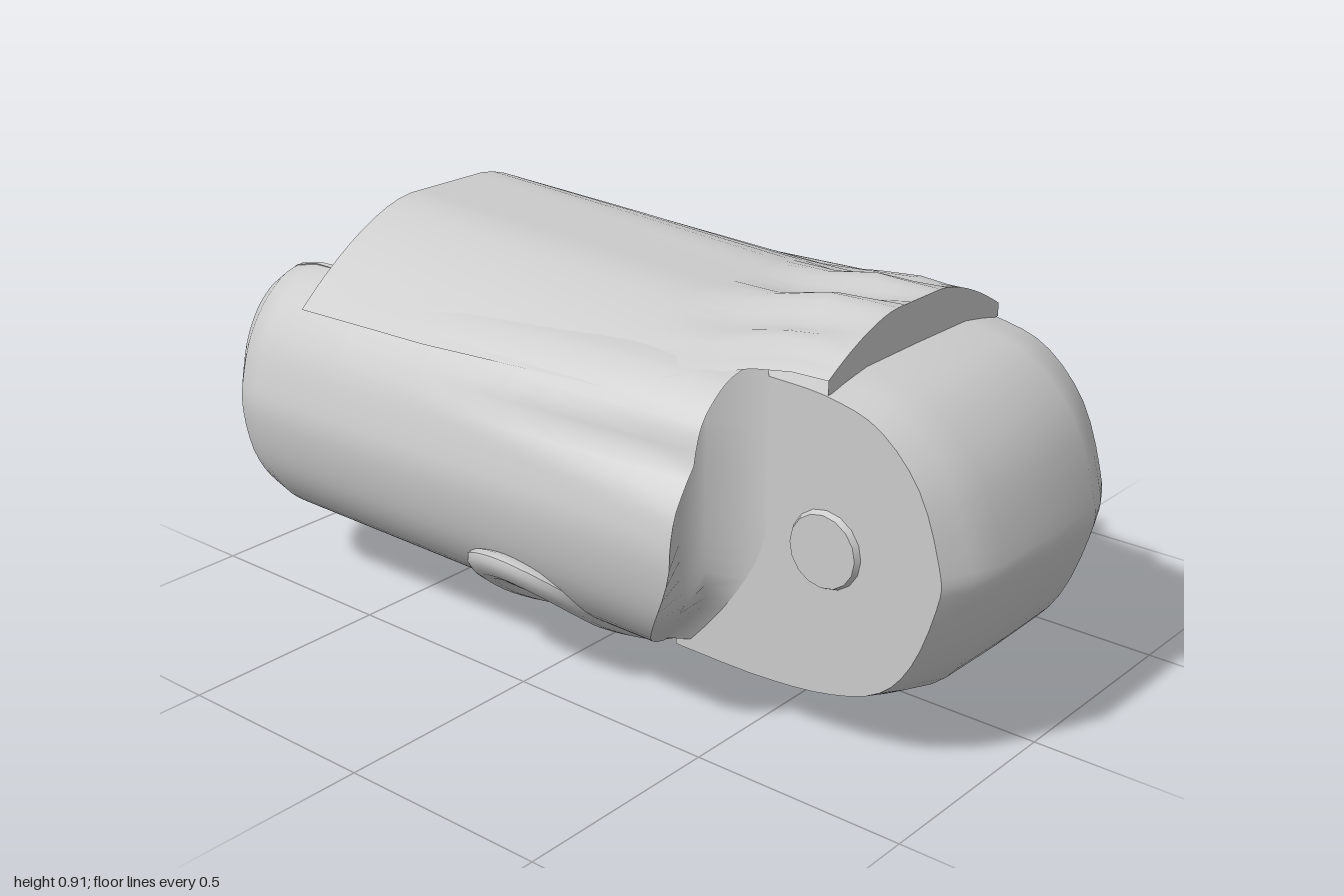
import * as THREE from 'three';

const mat = new THREE.MeshStandardMaterial({ color: 0xcccccc, side: THREE.DoubleSide });

export function createModel() {
  const model = new THREE.Group();
  const add = (name, geo) => {
    const m = new THREE.Mesh(geo, mat);
    m.name = name;
    model.add(m);
    return m;
  };

  // Skin stretched over rows of equally many [x, y, z] points
  const skin = (rows) => {
    const n = rows[0].length, idx = [];
    for (let r = 0; r < rows.length - 1; r++)
      for (let c = 0; c < n - 1; c++) {
        const a = r * n + c, b = a + n;
        idx.push(a, b, a + 1, b, b + 1, a + 1);
      }
    const g = new THREE.BufferGeometry();
    g.setAttribute('position', new THREE.Float32BufferAttribute(rows.flat(2), 3));
    g.setIndex(idx);
    g.computeVertexNormals();
    return g;
  };
  const smooth = (pts, n) =>
    new THREE.SplineCurve(pts.map((p) => new THREE.Vector2(...p))).getPoints(n).map((p) => [p.x, p.y]);
  // Flat wall from [z, y] points, standing at a given x
  const wall = (pts, x, hole) => {
    const s = new THREE.Shape(pts.map((p) => new THREE.Vector2(...p)));
    if (hole) s.holes.push(hole);
    return new THREE.ShapeGeometry(s, 10).rotateY(-Math.PI / 2).translate(x, 0, 0);
  };

  // Rounded nose, narrowing at its front corners
  const noseProfile = smooth([[0.28, 0.82], [0.55, 0.82], [0.7, 0.81], [0.83, 0.77], [0.94, 0.66],
    [1, 0.5], [1, 0.42], [0.94, 0.26], [0.85, 0.16], [0.7, 0.11], [0.5, 0.09], [0.28, 0.09]], 36);
  const noseRow = (x, k) => noseProfile.map(([z, y]) =>
    [x, 0.46 + (y - 0.46) * (0.93 + 0.07 * k), z > 0.5 ? 0.5 + (z - 0.5) * (0.88 + 0.12 * k) : z]);
  add('nose', skin([[-0.31, 0], [-0.25, 0.5], [-0.18, 0.95], [0, 1], [0.18, 0.95], [0.25, 0.5], [0.31, 0]]
    .map(([x, k]) => noseRow(x, k))));
  const cheek = noseRow(0.31, 0).map(([, y, z]) => [z, y]);

  // Side pod cross-section, from roof seam to lower edge
  const podProfile = smooth([[0.34, 0.81], [0.4, 0.793], [0.47, 0.735], [0.525, 0.65], [0.555, 0.56],
    [0.57, 0.46], [0.545, 0.33], [0.49, 0.235], [0.42, 0.175], [0.35, 0.14]], 30);
  const podFront = (y) => (y > 0.46 ? 0.48 : 0.48 - 0.2 * Math.pow((0.46 - y) / 0.32, 1.5));
  const podRow = (t) => podProfile.map(([x, y]) => {
    if (t <= 1) {
      // straight part, with a tapering groove pressed in along the flank
      const z = THREE.MathUtils.lerp(podFront(y), -0.78, t);
      const depth = Math.max(0, (z + 0.22) / 0.7);
      const groove = depth > 0 ? 0.03 * depth * Math.max(0, 1 - Math.abs(y - 0.65) / (0.02 + 0.07 * depth)) : 0;
      const settle = y > 0.46 ? 1 - 0.1 * t : 1 - 0.03 * t;
      return [x - groove, 0.46 + (y - 0.46) * settle, z];
    }
    // tail, domed in height and tapering faster in width
    const a = (t - 1) * Math.PI / 2, k = Math.max(0.04, Math.cos(a));
    const settle = y > 0.46 ? 0.9 : 0.97;
    return [0.36 + (x - 0.36) * Math.max(0.1, k * k), 0.46 + (y - 0.46) * settle * k, -0.78 - 0.22 * Math.sin(a)];
  });
  const podRows = [0, 0.1, 0.2, 0.3, 0.4, 0.5, 0.6, 0.8, 1, 1.2, 1.4, 1.6, 1.8, 1.9, 2].map(podRow);

  // Inner pod wall, a narrow rim around a wide oval opening
  const tail = podRows.slice(8);
  const innerOutline = [[-0.38, 0.775], ...tail.map((r) => [r[0][2], r[0][1]]),
    ...tail.map((r) => [r[30][2], r[30][1]]).reverse(), [-0.38, 0.15]];
  const opening = new THREE.Path().absellipse(-0.68, 0.46, 0.25, 0.265, 0, Math.PI * 2, true);

  for (const s of [1, -1]) {
    const side = s > 0 ? 'left' : 'right';
    const put = (name, geo) => { add(side + name, geo).scale.x = s; };
    put('NoseCheek', wall(cheek, 0.31));
    put('SidePod', skin(podRows));
    put('PodInnerWall', wall(innerOutline, 0.355, opening));
    // Recessed shoulder closing the pod front against the cheek
    put('Shoulder', skin([podRows[0],
      podRows[0].map(([x, y, z]) => [0.34 + (x - 0.34) * 0.5, y, Math.min(z, 0.41)]),
      podRows[0].map(([, y, z]) => [0.335, y, Math.min(z, 0.38)]),
      podRows[0].map(([, y, z]) => [0.31, y, z + 0.04])]));
    // Pivot cap on the cheek
    put('PivotCap', new THREE.CylinderGeometry(0.08, 0.09, 0.02, 16)
      .rotateZ(-Math.PI / 2).translate(0.313, 0.46, 0.67));
  }

  // Roof: [z, half width, crown y, edge y, fold depth]
  const roofRows = [[-0.7, 0.475, 0.91, 0.71, 0], [-0.3, 0.475, 0.89, 0.718, 0], [0.2, 0.46, 0.862, 0.74, 0],
    [0.36, 0.41, 0.88, 0.785, 0.02], [0.5, 0.34, 0.91, 0.815, 0.03], [0.58, 0.315, 0.91, 0.82, 0.02],
    [0.665, 0.31, 0.91, 0.82, 0]].map(([z, w, top, edge, fold]) => {
    const row = [];
    for (let i = -12; i <= 12; i++) {
      const u = Math.abs(i / 12);
      const drop = Math.max(0, (u - 0.25) / 0.75);
      const dip = u < 0.9 ? fold * (0.5 - 0.5 * Math.cos(u * Math.PI * 4 + Math.PI)) : 0;
      row.push([i / 12 * w, top - (top - edge) * Math.pow(drop, 1.6) - dip, z]);
    }
    return row;
  });
  add('roof', skin(roofRows));
  const lip = roofRows[roofRows.length - 1];
  add('roofFrontLip', skin([lip, lip.map(([x, , z]) => [x, 0.79, z])]));

  // Curved belly pan, sloping up at its tail
  add('bellyPan', skin([[0.67, 0.03], [0.6, 0.015], [0.5, 0], [0.2, 0.005], [-0.27, 0.01], [-0.36, 0.1]]
    .map(([z, lift]) => {
      const row = [];
      for (let i = -8; i <= 8; i++)
        row.push([i / 8 * 0.308, 0.05 + lift + 0.075 * (i / 8) ** 2 * (lift > 0.05 ? 0.1 : 1), z]);
      return row;
    })));

  // Bulkhead ahead of the open tail, with a small tab hanging below it
  add('bulkhead', new THREE.BoxGeometry(0.7, 0.62, 0.008).translate(0, 0.46, -0.38));
  add('bulkheadTab', new THREE.BoxGeometry(0.24, 0.14, 0.012).translate(-0.01, 0.13, -0.38));

  // Closed, flattened loop slung beneath the belly and up both flanks
  const loopPlan = [[0, 0.135], [0.2, 0.135], [0.37, 0.135], [0.45, 0.13], [0.51, 0.085], [0.535, 0],
    [0.51, -0.085], [0.45, -0.13], [0.37, -0.135], [0.2, -0.135]];
  const sling = [...loopPlan, ...loopPlan.map(([x, z]) => [-x, -z])]
    .map(([x, z]) => new THREE.Vector3(x, 0.03 + 0.92 * x * x, z));
  const loopCurve = new THREE.CatmullRomCurve3(sling, true);
  const loopRows = [];
  for (let i = 0; i <= 100; i++) {
    const p = loopCurve.getPoint(i / 100);
    const normal = new THREE.Vector3(-1.84 * p.x, 1, 0).normalize();
    const across = loopCurve.getTangent(i / 100).cross(normal).normalize();
    const ring = [];
    for (let j = 0; j <= 12; j++) {
      const a = j / 12 * Math.PI * 2;
      ring.push(p.clone().addScaledVector(across, 0.052 * Math.cos(a))
        .addScaledVector(normal, 0.027 * Math.sin(a)).toArray());
    }
    loopRows.push(ring);
  }
  add('underLoop', skin(loopRows));

  return model;
}
